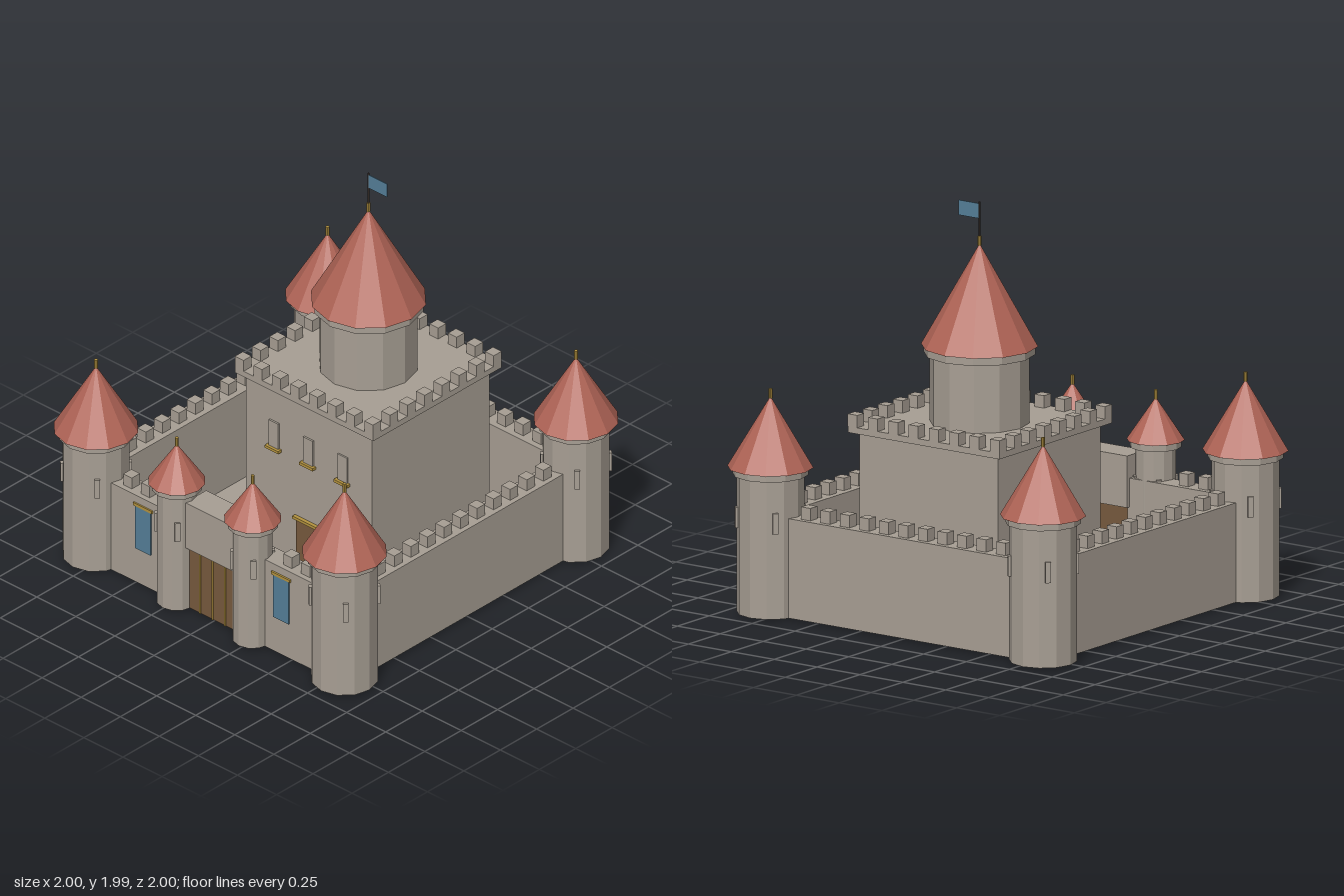
import * as THREE from 'three';

const material = (name, color) => {
  const m = new THREE.MeshStandardMaterial({ color, flatShading: true });
  m.name = name;
  return m;
};

export function createModel() {
  const stone = material('stone', 0xa89f94);
  const roof = material('roofTile', 0xb06456);
  const wood = material('wood', 0x775a3e);
  const gold = material('gold', 0xb3923f);
  const cloth = material('blueCloth', 0x557f99);
  const iron = material('darkIron', 0x3a302a);

  const castle = new THREE.Group();
  castle.name = 'castle';

  const add = (parent, name, geometry, mat, x, y, z) => {
    const mesh = new THREE.Mesh(geometry, mat);
    mesh.name = name;
    mesh.position.set(x, y, z);
    parent.add(mesh);
    return mesh;
  };
  // box given by its minimum and maximum corners
  const block = (parent, name, mat, [x0, y0, z0], [x1, y1, z1]) =>
    add(parent, name, new THREE.BoxGeometry(x1 - x0, y1 - y0, z1 - z0), mat,
      (x0 + x1) / 2, (y0 + y1) / 2, (z0 + z1) / 2);
  // twelve-sided drum between two heights
  const drum = (parent, name, mat, r, y0, y1, top = r) =>
    add(parent, name, new THREE.CylinderGeometry(top, r, y1 - y0, 12), mat, 0, (y0 + y1) / 2, 0);

  // round tower with collar, conical roof and finial
  function tower(name, x, z, o) {
    const g = new THREE.Group();
    g.name = name;
    g.position.set(x, 0, z);
    drum(g, 'towerBody', stone, o.r, o.base, o.collarY);
    drum(g, 'towerCollar', stone, o.collarR, o.collarY, o.eaveY);
    add(g, 'towerRoof', new THREE.ConeGeometry(o.roofR, o.apexY - o.eaveY, 12), roof,
      0, (o.apexY + o.eaveY) / 2, 0);
    add(g, 'finial', new THREE.CylinderGeometry(0.009, 0.009, 0.045, 8), gold, 0, o.apexY + 0.013, 0);
    // slit windows on the four diagonals
    if (o.slitY) for (let i = 0; i < 4; i++) {
      const a = Math.PI / 4 + i * Math.PI / 2;
      const slit = add(g, 'slitWindow', new THREE.BoxGeometry(0.026, 0.1, 0.02), stone,
        Math.sin(a) * o.r * 0.985, o.slitY, Math.cos(a) * o.r * 0.985);
      slit.rotation.y = a;
    }
    castle.add(g);
    return g;
  }

  // square battlement tooth standing on height y
  const merlon = (x, y, z) =>
    block(castle, 'merlon', stone, [x - 0.0275, y, z - 0.0275], [x + 0.0275, y + 0.06, z + 0.0275]);

  block(castle, 'groundSlab', stone, [-0.8, 0, -0.8], [0.8, 0.012, 0.8]);

  // curtain walls
  const wallTop = 0.49, out = 0.848, inn = 0.738;
  block(castle, 'backWall', stone, [-out, 0.01, -out], [out, wallTop, -inn]);
  for (const s of [-1, 1]) {
    const span = (a, b) => [Math.min(s * a, s * b), Math.max(s * a, s * b)];
    const [sx0, sx1] = span(inn, out);
    block(castle, 'sideWall', stone, [sx0, 0.01, -inn], [sx1, wallTop, out]);
    const [fx0, fx1] = span(0.15, inn);
    block(castle, 'frontWall', stone, [fx0, 0.01, inn], [fx1, wallTop, out]);

    // hanging banner with its rod
    const bx = s * 0.442;
    block(castle, 'banner', cloth, [bx - 0.05, 0.2, out], [bx + 0.05, 0.435, out + 0.006]);
    block(castle, 'bannerRod', gold, [bx - 0.06, 0.435, out], [bx + 0.06, 0.45, out + 0.009]);

    for (const x of [0.455, 0.569]) merlon(s * x, wallTop, 0.793);
  }
  for (let i = -5; i <= 5; i++) {
    merlon(i * 0.1138, wallTop, -0.795);
    for (const s of [-1, 1]) merlon(s * 0.795, wallTop, i * 0.1138);
  }

  // corner towers
  for (const x of [-0.795, 0.795]) for (const z of [-0.795, 0.795])
    tower('cornerTower', x, z, {
      r: 0.16, base: 0.01, collarY: 0.675, collarR: 0.179, eaveY: 0.71, roofR: 0.203,
      apexY: 1.05, slitY: 0.472,
    });

  // gatehouse
  for (const x of [-0.243, 0.243])
    tower('gateTower', x, 0.833, {
      r: 0.096, base: 0.01, collarY: 0.638, collarR: 0.121, eaveY: 0.672, roofR: 0.137,
      apexY: 0.875, slitY: 0.448,
    });
  block(castle, 'gateLintel', stone, [-0.16, 0.35, 0.72], [0.16, 0.6, 0.865]);
  block(castle, 'gateDoor', wood, [-0.15, 0.012, 0.76], [0.15, 0.35, 0.845]);
  for (const x of [-0.08, 0, 0.08])
    block(castle, 'gateStrip', gold, [x - 0.004, 0.012, 0.845], [x + 0.004, 0.35, 0.85]);

  // keep with overhanging battlements
  block(castle, 'keep', stone, [-0.403, 0.01, -0.622], [0.403, 0.9, 0.185]);
  block(castle, 'keepParapet', stone, [-0.442, 0.9, -0.663], [0.442, 0.93, 0.22]);
  for (let i = 0; i < 8; i++) {
    const t = -0.4145 + i * 0.8290 / 7;
    for (const s of [-1, 1]) {
      merlon(t, 0.93, -0.2215 + s * 0.4145);
      if (i > 0 && i < 7) merlon(s * 0.4145, 0.93, -0.2215 + t);
    }
  }
  for (const x of [-0.22, 0, 0.22]) {
    block(castle, 'keepWindow', stone, [x - 0.03, 0.57, 0.185], [x + 0.03, 0.71, 0.194]);
    block(castle, 'windowSill', gold, [x - 0.043, 0.555, 0.185], [x + 0.043, 0.57, 0.208]);
  }
  block(castle, 'keepDoor', wood, [-0.075, 0.012, 0.185], [0.075, 0.235, 0.194]);
  block(castle, 'keepDoorLintel', gold, [-0.09, 0.235, 0.185], [0.09, 0.25, 0.205]);

  // great tower with flag
  const great = tower('greatTower', 0, -0.223, {
    r: 0.235, base: 0.93, collarY: 1.262, collarR: 0.264, eaveY: 1.3, roofR: 0.276, apexY: 1.79,
  });
  add(great, 'flagPole', new THREE.CylinderGeometry(0.005, 0.005, 0.2, 6), iron, 0, 1.89, 0);
  block(great, 'flag', cloth, [0.004, 1.91, -0.003], [0.12, 1.982, 0.003]);

  return castle;
}
